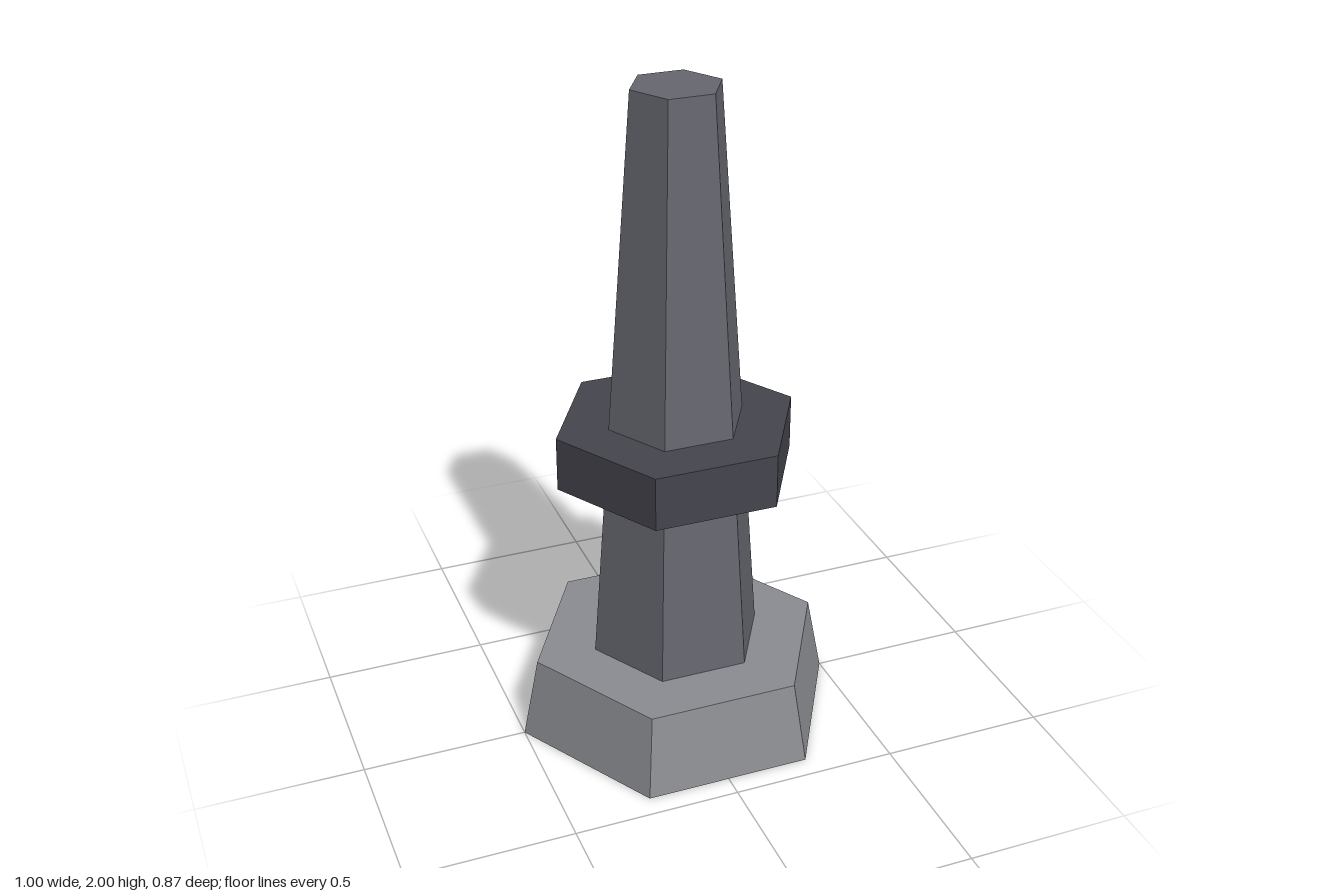
import * as THREE from 'three';

export function createModel() {
  const group = new THREE.Group();

  const material = (name, color) => {
    const m = new THREE.MeshStandardMaterial({ color, flatShading: true });
    m.name = name;
    return m;
  };
  const lightGrey = material('light grey', 0x8c8d92);
  const midGrey = material('slate grey', 0x676771);
  const darkGrey = material('dark grey', 0x45454e);

  // Six-sided tapered section with corners on the x axis
  const hexSection = (name, bottomRadius, topRadius, y0, y1, mat) => {
    const geometry = new THREE.CylinderGeometry(
      topRadius, bottomRadius, y1 - y0, 6, 1, false, Math.PI / 2
    );
    const mesh = new THREE.Mesh(geometry, mat);
    mesh.name = name;
    mesh.position.y = (y0 + y1) / 2;
    group.add(mesh);
  };

  hexSection('base', 0.5, 0.45, 0, 0.25, lightGrey);
  hexSection('shaft', 0.265, 0.133, 0.25, 2, midGrey);
  hexSection('collar', 0.367, 0.367, 0.835, 1, darkGrey);

  return group;
}
